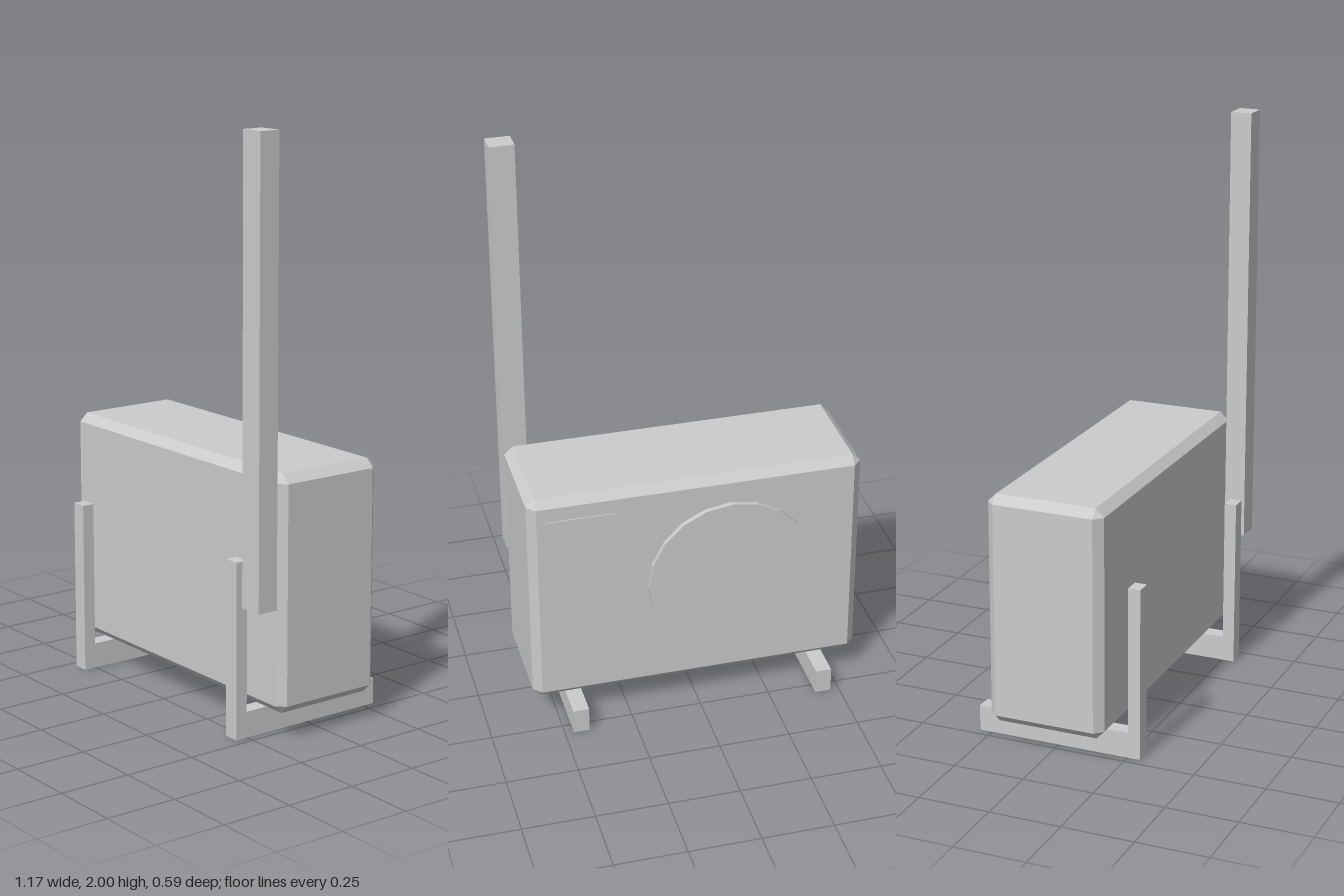
import * as THREE from 'three';
import { ConvexGeometry } from 'three/addons/geometries/ConvexGeometry.js';

const material = new THREE.MeshStandardMaterial({ color: 0xcccccc, flatShading: true });

function add(parent, name, geometry, x, y, z) {
  const mesh = new THREE.Mesh(geometry, material);
  mesh.name = name;
  mesh.position.set(x, y, z);
  parent.add(mesh);
  return mesh;
}

// Box with every edge cut at 45 degrees
function chamferedBox(w, h, d, c) {
  const points = [];
  for (const sx of [-1, 1]) for (const sy of [-1, 1]) for (const sz of [-1, 1]) {
    for (let axis = 0; axis < 3; axis++) {
      const half = [w / 2, h / 2, d / 2].map((v, i) => (i === axis ? v : v - c));
      points.push(new THREE.Vector3(sx * half[0], sy * half[1], sz * half[2]));
    }
  }
  return new ConvexGeometry(points);
}

// L-shaped wall bracket, drawn in side profile and extruded across x
function bracketGeometry(width) {
  const profile = new THREE.Shape([
    [-0.295, 0], [0.295, 0], [0.295, 0.605], [0.252, 0.605], [0.252, 0.09], [-0.295, 0.09],
  ].map(([z, y]) => new THREE.Vector2(-z, y)));
  const geometry = new THREE.ExtrudeGeometry(profile, { depth: width, bevelEnabled: false });
  geometry.translate(0, 0, -width / 2);
  geometry.rotateY(Math.PI / 2);
  return geometry;
}

export function createModel() {
  const model = new THREE.Group();
  model.name = 'outdoorAirConditioner';

  // Casing
  add(model, 'casing', chamferedBox(1.172, 0.805, 0.412, 0.029), 0, 0.4975, 0);

  // Round fan cover on the back
  const fan = new THREE.CylinderGeometry(0.294, 0.294, 0.03, 20);
  fan.rotateX(Math.PI / 2);
  add(model, 'fanCover', fan, -0.118, 0.502, -0.209);

  // Thin service panel beside the fan
  add(model, 'servicePanel', new THREE.BoxGeometry(0.236, 0.66, 0.004), 0.411, 0.497, -0.219);

  // Pair of wall brackets
  const bracket = bracketGeometry(0.056);
  for (const side of [-1, 1]) {
    add(model, side > 0 ? 'leftBracket' : 'rightBracket', bracket, side * 0.441, 0, 0);
  }

  // Tall pipe duct
  add(model, 'pipeDuct', new THREE.BoxGeometry(0.086, 1.54, 0.074), 0.542, 1.23, 0.258);

  return model;
}
